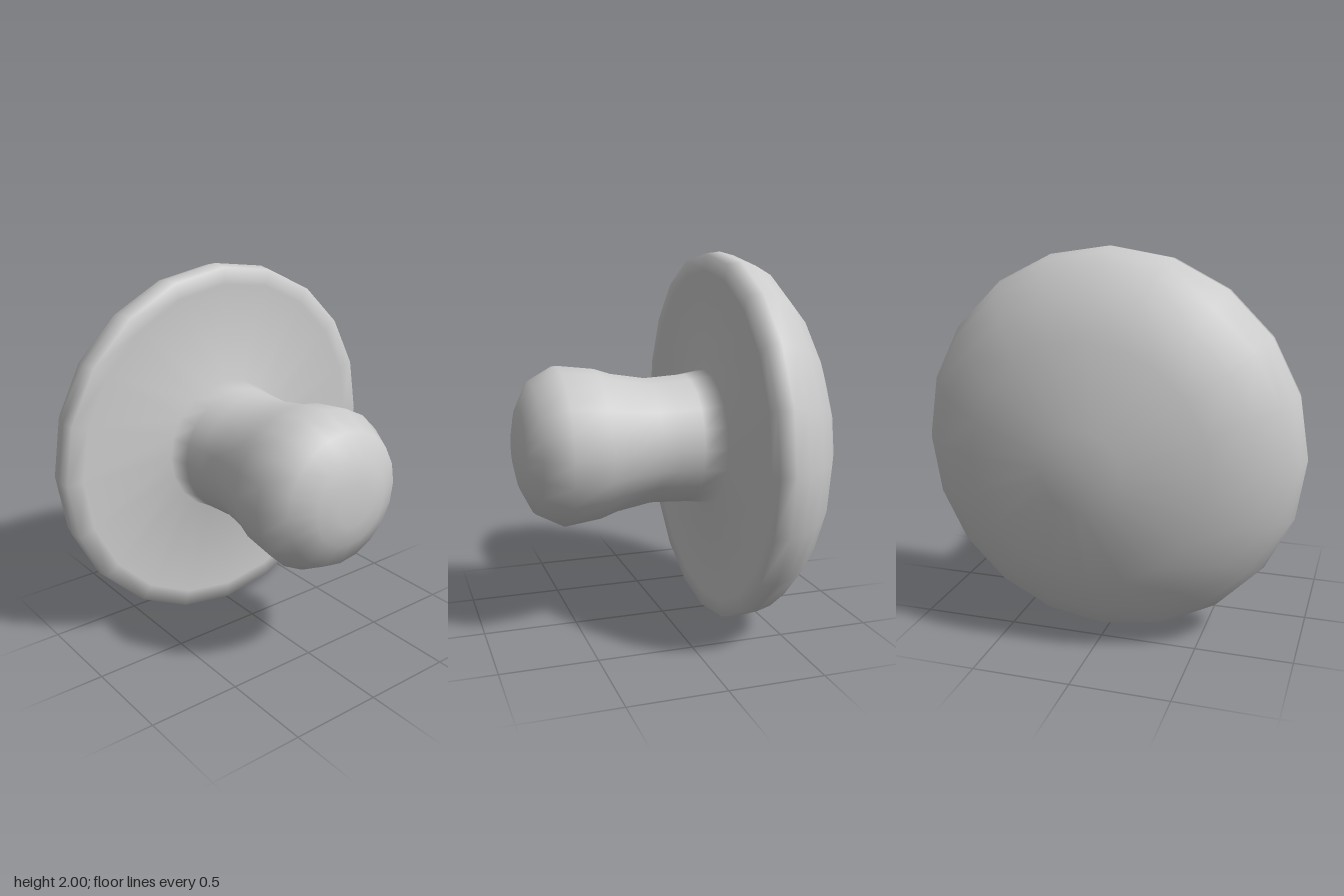
import * as THREE from 'three';

// One continuous smooth profile: [radius, z] from the back of the cap to the tip of the stem
const capProfile = [
  [0, -0.81], [0.2, -0.81], [0.6, -0.72], [0.81, -0.6], [0.93, -0.49], [0.98, -0.4],
  [1, -0.32], [0.99, -0.24], // rim
  [0.9, -0.24], // flat underside
];
const stemProfile = [
  [0.37, -0.24], [0.35, -0.12], [0.343, 0], [0.338, 0.1], [0.37, 0.29], [0.4, 0.38],
  [0.425, 0.58], // bulge
  [0.35, 0.72], [0.22, 0.785], [0.11, 0.81], [0, 0.81], // rounded tip
];

export function createModel() {
  const group = new THREE.Group();
  group.name = 'mushroomKnob';

  // Cap and stem turned together so the shading flows across the joint
  const points = [...capProfile, ...stemProfile].map(([r, z]) => new THREE.Vector2(r, z));
  const geometry = new THREE.LatheGeometry(points, 20);
  geometry.rotateX(Math.PI / 2); // stem points to the front
  geometry.translate(0, 1, 0);

  const knob = new THREE.Mesh(geometry, new THREE.MeshStandardMaterial({ color: 0xcccccc }));
  knob.name = 'capAndStem';
  group.add(knob);
  return group;
}
